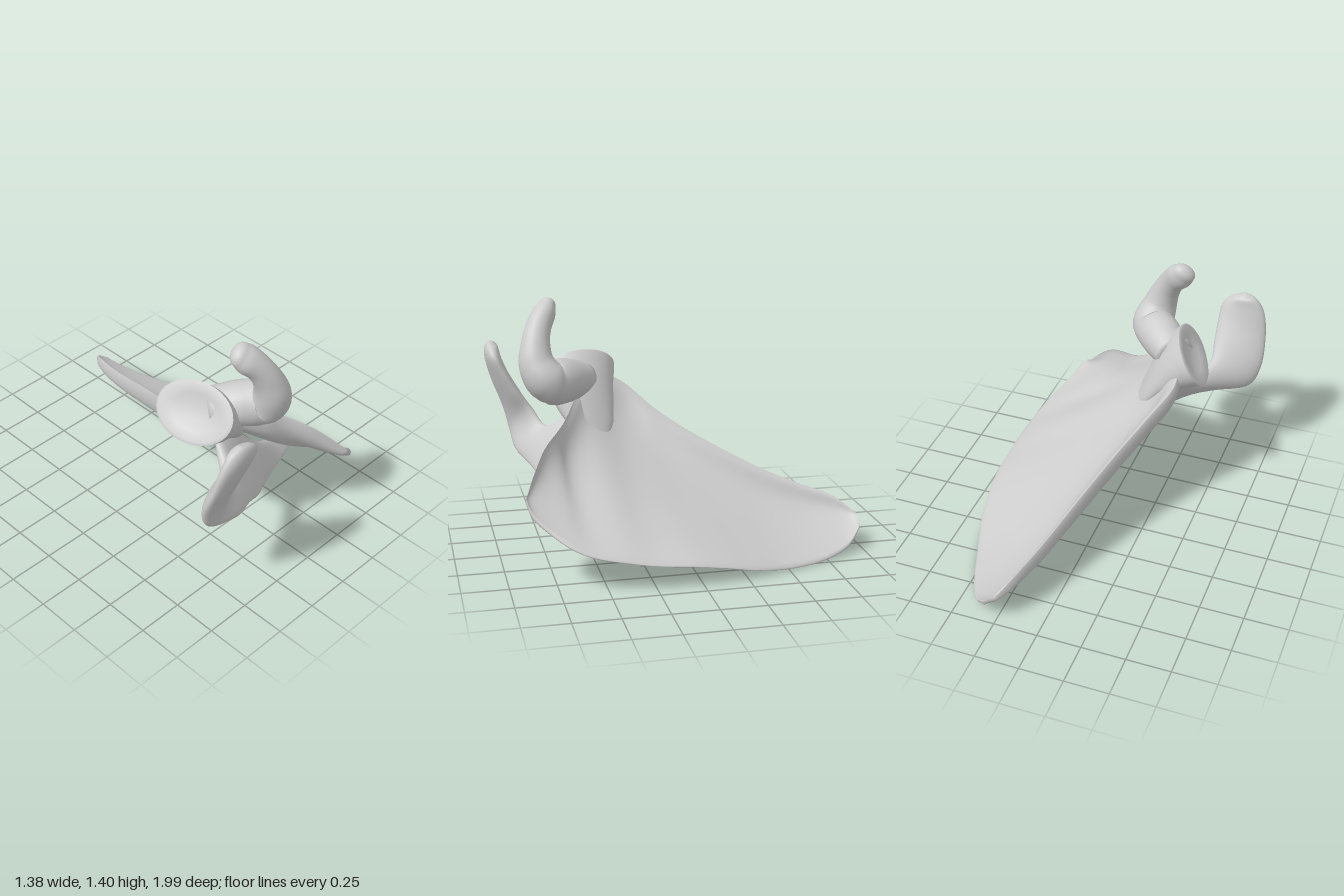
import * as THREE from 'three';
import { toCreasedNormals } from 'three/addons/utils/BufferGeometryUtils.js';

const V = (x, y, z) => new THREE.Vector3(x, y, z);
const spline = (pts) => new THREE.CatmullRomCurve3(pts.map((p) => V(...p)), false, 'catmullrom', 0.5);

// Skin a list of closed rings, cap both ends, and make the faces point outwards
function loft(rings) {
  const n = rings[0].length, pts = rings.flat(), tris = [];
  for (let j = 0; j < rings.length - 1; j++) {
    for (let i = 0; i < n; i++) {
      const a = j * n + i, b = j * n + ((i + 1) % n);
      tris.push([a, b, a + n], [b, b + n, a + n]);
    }
  }
  [0, rings.length - 1].forEach((j) => {
    const centre = rings[j].reduce((s, p) => s.add(p), V(0, 0, 0)).divideScalar(n);
    const c = pts.push(centre) - 1;
    for (let i = 0; i < n; i++) {
      const a = j * n + i, b = j * n + ((i + 1) % n);
      tris.push(j === 0 ? [c, b, a] : [c, a, b]);
    }
  });
  let volume = 0;
  for (const [a, b, c] of tris) volume += pts[a].dot(V(0, 0, 0).crossVectors(pts[b], pts[c]));
  if (volume < 0) tris.forEach((t) => t.reverse());
  const g = new THREE.BufferGeometry().setFromPoints(pts);
  g.setIndex(tris.flat());
  g.computeVertexNormals();
  return g;
}

// Oval ring from a centre and two half axes; flare thickens the side opposite to a
function oval(c, a, b, n = 28, flare = 0) {
  return Array.from({ length: n }, (_, i) => {
    const t = (i / n) * Math.PI * 2;
    const swell = 1 + (flare * (1 - Math.cos(t))) / 2;
    return c.clone().addScaledVector(a, Math.cos(t)).addScaledVector(b, Math.sin(t) * swell);
  });
}

// Broad, thin blade: rows run from the outer border to the inner border
function bladeGeometry() {
  const outer = spline([
    [0.24, 0.18, -0.985], [0.165, 0.27, -0.87], [0.1, 0.33, -0.7], [0.03, 0.41, -0.5], [-0.05, 0.51, -0.3],
    [-0.14, 0.62, -0.1], [-0.24, 0.74, 0.08], [-0.345, 0.89, 0.26], [-0.25, 0.94, 0.45], [0, 0.775, 0.61],
    [0.12, 0.74, 0.67], [0.22, 0.67, 0.76], [0.32, 0.57, 0.83], [0.41, 0.46, 0.89]]);
  const inner = spline([
    [0.32, 0.12, -0.985], [0.405, 0.045, -0.89], [0.49, 0.01, -0.72], [0.57, 0.013, -0.5], [0.635, 0.045, -0.3],
    [0.67, 0.085, -0.12], [0.69, 0.115, 0.05], [0.69, 0.135, 0.25], [0.68, 0.16, 0.4], [0.655, 0.19, 0.56],
    [0.615, 0.235, 0.68], [0.55, 0.3, 0.78], [0.49, 0.37, 0.86], [0.43, 0.44, 0.89]]);
  const up = V(0.5, 0.84, -0.12).normalize();
  const rows = 70, cols = 32, rings = [];
  for (let j = 0; j <= rows; j++) {
    const v = j / rows, L = outer.getPoint(v), M = inner.getPoint(v);
    const swell = Math.sin(Math.PI * v) ** 0.6;
    const bar = v < 0.6 ? 1 : Math.max(0, 1 - (v - 0.6) / 0.15);
    const side = (u, s) => {
      const sag = 0.11 * swell * Math.sin(Math.PI * u ** 0.62);
      const round = Math.sqrt(Math.max(0, Math.min(1, u / 0.07, (1 - u) / 0.04)));
      const half = (0.014 + 0.045 * bar * swell * Math.exp(-((u / 0.13) ** 2))) * round;
      return L.clone().lerp(M, u).addScaledVector(up, s * half - sag);
    };
    const ring = [];
    const ease = (k) => (1 - Math.cos((Math.PI * k) / cols)) / 2;
    for (let i = 0; i < cols; i++) ring.push(side(ease(i), 1));
    for (let i = cols; i > 0; i--) ring.push(side(ease(i), -1));
    rings.push(ring);
  }
  return loft(rings);
}

// Ridge under the blade that rises into the flat shoulder tip
function ridgeGeometry() {
  const root = spline([
    [0.66, 0.15, 0.32], [0.42, 0.22, 0.34], [0.2, 0.36, 0.42], [0.03, 0.53, 0.45], [-0.12, 0.69, 0.47],
    [-0.25, 0.73, 0.53], [-0.335, 0.64, 0.67], [-0.405, 0.73, 0.76], [-0.4, 0.83, 0.84], [-0.4, 0.95, 0.91],
    [-0.41, 1.03, 0.95], [-0.46, 1.08, 0.96], [-0.53, 1.105, 0.955]]);
  const crest = spline([
    [0.66, 0.135, 0.34], [0.43, 0.15, 0.44], [0.2, 0.18, 0.53], [0.05, 0.26, 0.62], [-0.1, 0.34, 0.71],
    [-0.25, 0.43, 0.78], [-0.42, 0.49, 0.85], [-0.62, 0.555, 0.85], [-0.685, 0.69, 0.87], [-0.685, 0.86, 0.93],
    [-0.66, 1.0, 0.96], [-0.61, 1.08, 0.96], [-0.55, 1.105, 0.955]]);
  const half = spline([0.008, 0.014, 0.018, 0.022, 0.026, 0.03, 0.04, 0.052, 0.052, 0.046, 0.044, 0.036, 0.015]
    .map((t) => [t, 0, 0]));
  const rows = 66, rings = [];
  const mid = (t) => root.getPoint(t).lerp(crest.getPoint(t), 0.5);
  for (let j = 0; j <= rows; j++) {
    const t = j / rows;
    const across = crest.getPoint(t).sub(root.getPoint(t)).multiplyScalar(0.5);
    const along = mid(Math.min(1, t + 0.02)).sub(mid(Math.max(0, t - 0.02)));
    const thick = V(0, 0, 0).crossVectors(along, across).normalize().multiplyScalar(half.getPoint(t).x);
    rings.push(oval(mid(t), across, thick, 28, 1.6 * Math.max(0, 1 - t / 0.5)));
  }
  return loft(rings);
}

// Neck and shallow oval socket facing sideways and up
function socketGeometry() {
  const face = V(-0.82, 0.53, 0.18).normalize();
  const long = V(0.24, 0.03, 0.97).projectOnPlane(face).normalize();
  const short = V(0, 0, 0).crossVectors(face, long).normalize();
  const steps = [
    [-0.355, 0.93, 0.49, 0.05, 0.035], [-0.365, 0.937, 0.49, 0.14, 0.1], [-0.38, 0.95, 0.49, 0.21, 0.15],
    [-0.375, 0.945, 0.49, 0.225, 0.165], [-0.33, 0.915, 0.49, 0.215, 0.155], [-0.26, 0.86, 0.485, 0.19, 0.125],
    [-0.19, 0.78, 0.47, 0.165, 0.09], [-0.13, 0.69, 0.45, 0.13, 0.055], [-0.06, 0.6, 0.44, 0.07, 0.02]];
  const rings = steps.map(([x, y, z, a, b]) =>
    oval(V(x, y, z), long.clone().multiplyScalar(a), short.clone().multiplyScalar(b), 36));
  return toCreasedNormals(loft(rings), 0.9);
}

// Hooked beak that rises from the neck
function hookGeometry() {
  const path = spline([
    [-0.27, 0.92, 0.49], [-0.15, 0.945, 0.6], [-0.07, 0.965, 0.7], [-0.085, 1.06, 0.755], [-0.12, 1.165, 0.755],
    [-0.165, 1.25, 0.73], [-0.215, 1.31, 0.695], [-0.245, 1.345, 0.675]]);
  const size = spline([[0.1, 0.11, 0], [0.125, 0.12, 0], [0.125, 0.115, 0], [0.1, 0.1, 0], [0.08, 0.08, 0],
    [0.072, 0.07, 0], [0.078, 0.065, 0], [0.068, 0.05, 0]]);
  const rows = 40, rings = [];
  const addRing = (t, k, push) => {
    const dir = path.getTangent(t), s = size.getPoint(t);
    const a = V(0, 0, 0).crossVectors(dir, V(0.3, 0, 1)).normalize();
    const b = V(0, 0, 0).crossVectors(dir, a).normalize();
    rings.push(oval(path.getPoint(t).addScaledVector(dir, push),
      a.multiplyScalar(s.x * k), b.multiplyScalar(s.y * k)));
  };
  for (let j = 0; j <= rows; j++) addRing(j / rows, 1, 0);
  // rounded tip
  [0.35, 0.7, 1, 1.25, 1.45].forEach((q) => addRing(1, Math.cos(q), 0.045 * Math.sin(q)));
  return loft(rings);
}

export function createModel() {
  const bone = new THREE.MeshStandardMaterial({ color: 0xcccccc });
  bone.name = 'paleBone';
  const group = new THREE.Group();
  group.name = 'shoulderBlade';
  const parts = {
    blade: bladeGeometry(),
    ridgeAndShoulderTip: ridgeGeometry(),
    socketAndNeck: socketGeometry(),
    hook: hookGeometry(),
  };
  for (const [name, geometry] of Object.entries(parts)) {
    const mesh = new THREE.Mesh(geometry, bone);
    mesh.name = name;
    group.add(mesh);
  }
  return group;
}
